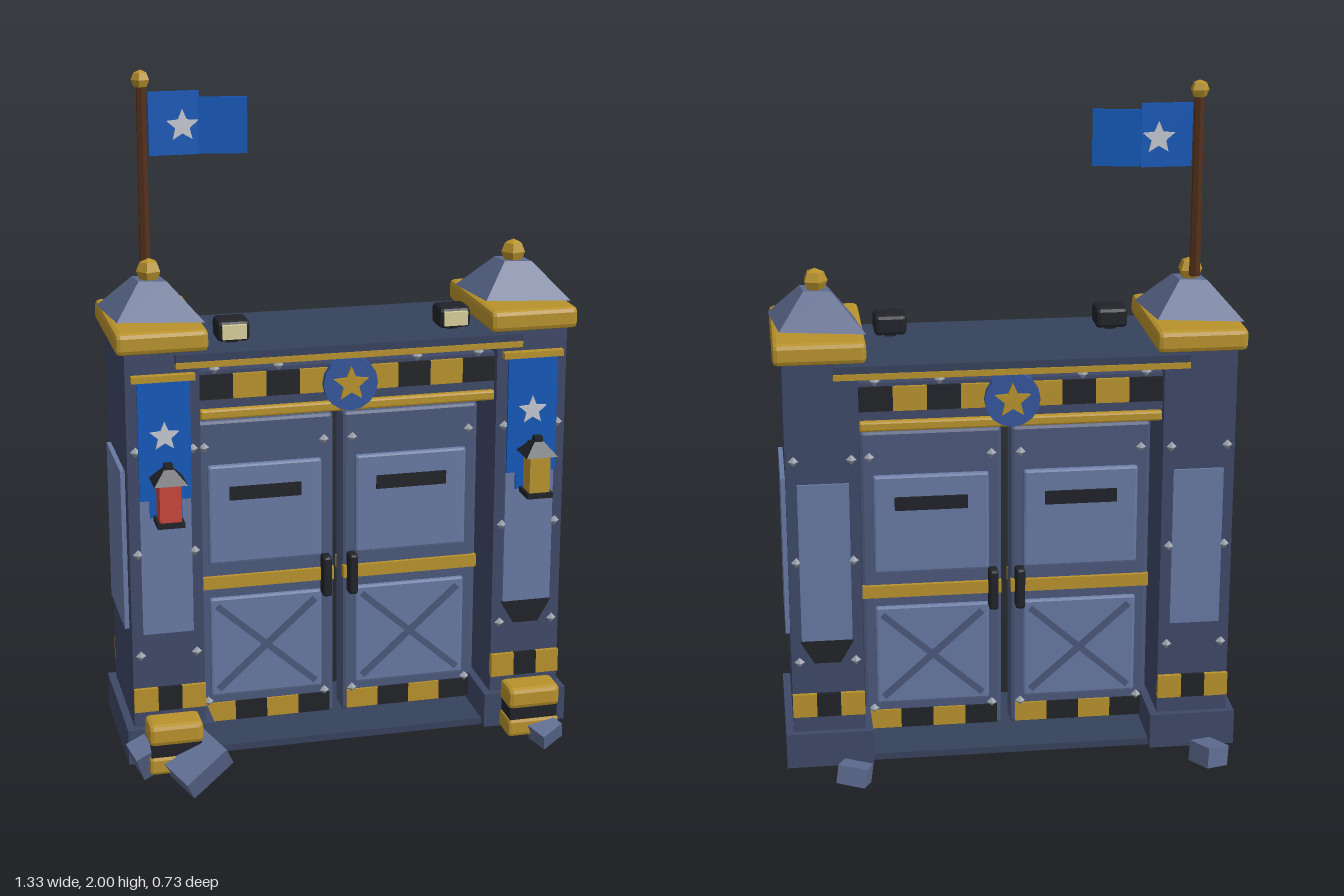
import * as THREE from 'three';
import { RoundedBoxGeometry } from 'three/addons/geometries/RoundedBoxGeometry.js';

const mat = (color) => new THREE.MeshStandardMaterial({ color, flatShading: true });
const M = {
  navy: mat(0x3e4967), slab: mat(0x36415c), door: mat(0x4b587a), panel: mat(0x6779a3),
  gold: mat(0xb8922c), black: mat(0x202228), blue: mat(0x1158b8), badge: mat(0x34569c),
  star: mat(0xc4c8d0), bolt: mat(0xa0a6b0), wood: mat(0x55301c), cream: mat(0xd8cf9c),
  red: mat(0xc9443c), rock: mat(0x5d6b90),
};

function add(parent, name, geo, material, x = 0, y = 0, z = 0) {
  const m = new THREE.Mesh(geo, material);
  m.name = name;
  m.position.set(x, y, z);
  parent.add(m);
  return m;
}
function group(parent, name, x = 0, y = 0, z = 0) {
  const g = new THREE.Group();
  g.name = name;
  g.position.set(x, y, z);
  parent.add(g);
  return g;
}
// Box given by its limits on each axis; r rounds the edges
function box(parent, name, material, x0, x1, y0, y1, z0, z1, r = 0) {
  const s = [x1 - x0, y1 - y0, z1 - z0];
  const geo = r ? new RoundedBoxGeometry(...s, 1, r) : new THREE.BoxGeometry(...s);
  return add(parent, name, geo, material, (x0 + x1) / 2, (y0 + y1) / 2, (z0 + z1) / 2);
}
function starGeo(r, depth) {
  const pts = [];
  for (let i = 0; i < 10; i++) {
    const a = Math.PI / 2 + i * Math.PI / 5, q = i % 2 ? r * 0.45 : r;
    pts.push(new THREE.Vector2(q * Math.cos(a), q * Math.sin(a)));
  }
  return new THREE.ExtrudeGeometry(new THREE.Shape(pts), { depth, bevelEnabled: false });
}
// Row of alternating gold and black blocks
function hazard(parent, x0, x1, y0, y1, z0, z1, n, first = 0) {
  const g = group(parent, 'hazardStripes'), w = (x1 - x0) / n;
  for (let i = 0; i < n; i++) {
    box(g, 'stripe', (i + first) % 2 ? M.black : M.gold, x0 + i * w, x0 + (i + 1) * w, y0, y1, z0, z1);
  }
}
const bolt = (parent, x, y, z) =>
  add(parent, 'bolt', new THREE.OctahedronGeometry(0.015), M.bolt, x, y, z);

// Everything on one face of a door leaf
function doorFace(face, s) {
  const g = group(face, 'doorFace', s * 0.217, 0, 0);
  box(g, 'upperPanel', M.panel, -0.167, 0.167, 0.585, 0.885, 0.03, 0.052, 0.008);
  box(g, 'viewSlot', M.black, -0.105, 0.105, 0.78, 0.82, 0.04, 0.058);
  box(g, 'lowerPanel', M.panel, -0.167, 0.167, 0.17, 0.48, 0.03, 0.048, 0.008);
  for (const d of [-1, 1]) {
    const bar = add(g, 'crossBrace', new THREE.BoxGeometry(0.39, 0.018, 0.012), M.door, 0, 0.325, 0.05);
    bar.rotation.z = d * 0.73;
  }
  box(g, 'goldBand', M.gold, -0.203, 0.203, 0.51, 0.547, 0.03, 0.052);
  hazard(g, -0.19, 0.19, 0.09, 0.148, 0.03, 0.046, 4);
  box(g, 'handle', M.black, -s * 0.178 - 0.014, -s * 0.178 + 0.014, 0.465, 0.59, 0.035, 0.08, 0.008);
  for (const x of [-0.175, 0.175]) for (const y of [0.155, 0.94]) bolt(g, x, y, 0.043);
}

// One broad side of the gate, shared by front and back
function gateFace(core, turn) {
  const f = group(core, turn ? 'backFace' : 'frontFace');
  f.rotation.y = turn;
  for (const s of [-1, 1]) {
    doorFace(f, s);
    box(f, 'pillarPanel', M.panel, s * 0.53 - 0.072, s * 0.53 + 0.072, 0.45, 0.92, 0.18, 0.198);
    hazard(f, s * 0.53 - 0.103, s * 0.53 + 0.103, 0.215, 0.285, 0.18, 0.202, 3);
    for (const x of [-0.08, 0.08]) for (const y of [0.385, 0.69, 0.99]) bolt(f, s * 0.53 + x, y, 0.195);
    for (const x of [0.2, 0.38]) bolt(f, s * x, 1.205, 0.165);
  }
  hazard(f, -0.425, 0.425, 1.12, 1.19, 0.15, 0.175, 9, 1);
  box(f, 'beamTrim', M.gold, -0.425, 0.425, 1.063, 1.092, 0.15, 0.182, 0.006);
  box(f, 'slabTrim', M.gold, -0.495, 0.495, 1.224, 1.241, 0.18, 0.214);
  const disc = add(f, 'badge', new THREE.CylinderGeometry(0.078, 0.078, 0.03, 16), M.badge, 0, 1.145, 0.178);
  disc.rotation.x = Math.PI / 2;
  add(f, 'badgeStar', starGeo(0.052, 0.012), M.gold, 0, 1.145, 0.19);
}

function pillar(core, s) {
  const g = group(core, s < 0 ? 'rightPillar' : 'leftPillar', s * 0.53);
  box(g, 'shaft', M.navy, -0.103, 0.103, 0.16, 1.28, -0.19, 0.19);
  box(g, 'plinth', M.navy, -0.125, 0.125, 0.06, 0.165, -0.21, 0.21);
  box(g, 'cap', M.gold, -0.128, 0.128, 1.268, 1.33, -0.213, 0.213, 0.014);
  box(g, 'outerPanel', M.panel, s * 0.106 - 0.01, s * 0.106 + 0.01, 0.45, 0.92, -0.135, 0.14);
  // Skewed four-sided roof
  const roof = new THREE.CylinderGeometry(0.32, 1, 0.1, 4);
  roof.applyMatrix4(new THREE.Matrix4().set(
    0.105, 0, 0.132, 0, 0, 1, 0, 0, -0.085, 0, 0.132, 0, 0, 0, 0, 1));
  add(g, 'roof', roof, M.rock, 0, 1.38, 0);
  add(g, 'finial', new THREE.SphereGeometry(0.036, 5, 4), M.gold, 0, 1.453, 0);
}

// Banner, lantern and bollard on the front of each pillar
function pillarFront(root, s) {
  const g = group(root, s < 0 ? 'rightFittings' : 'leftFittings', s * 0.53);
  box(g, 'bannerRod', M.gold, -0.088, 0.088, 1.19, 1.208, 0.165, 0.188);
  const cloth = new THREE.Shape([[-0.073, 1.195], [-0.073, 0.85], [-0.045, 0.85], [-0.045, 0.8],
    [0.045, 0.8], [0.045, 0.85], [0.073, 0.85], [0.073, 1.195]].reverse().map(p => new THREE.Vector2(...p)));
  add(g, 'banner', new THREE.ExtrudeGeometry(cloth, { depth: 0.008, bevelEnabled: false }), M.blue, 0, 0, 0.174);
  add(g, 'bannerStar', starGeo(0.043, 0.006), M.star, 0, 1.035, 0.181);

  const l = group(g, 'lantern', 0, 0, 0.234);
  box(l, 'bracket', M.black, -0.012, 0.012, 0.925, 0.945, -0.065, 0);
  box(l, 'glass', s < 0 ? M.red : M.gold, -0.03, 0.03, 0.81, 0.925, -0.03, 0.03);
  box(l, 'lanternBase', M.black, -0.038, 0.038, 0.797, 0.812, -0.038, 0.038);
  const hood = add(l, 'hood', new THREE.CylinderGeometry(0.02, 0.066, 0.038, 4), M.black, 0, 0.94, 0);
  hood.rotation.y = Math.PI / 4;
  box(l, 'hoodKnob', M.black, -0.012, 0.012, 0.955, 0.973, -0.012, 0.012);

  box(g, 'bollardFoot', M.gold, -0.078, 0.078, 0.06, 0.115, 0.18, 0.272, 0.01);
  box(g, 'bollardBand', M.black, -0.072, 0.072, 0.105, 0.155, 0.18, 0.267);
  box(g, 'bollardTop', M.gold, -0.078, 0.078, 0.148, 0.212, 0.18, 0.275, 0.014);
}

export function createModel() {
  const root = new THREE.Group();
  root.name = 'fortifiedGate';
  const core = group(root, 'gate', 0, 0, -0.025);

  // Roof slab, beam, threshold and door leaves
  box(core, 'roofSlab', M.slab, -0.495, 0.495, 1.235, 1.262, -0.21, 0.21);
  box(core, 'beam', M.navy, -0.43, 0.43, 1.063, 1.2, -0.165, 0.165);
  box(core, 'threshold', M.slab, -0.42, 0.42, 0.056, 0.076, -0.18, 0.18);
  for (const s of [-1, 1]) {
    box(core, 'doorLeaf', M.door, s * 0.217 - 0.204, s * 0.217 + 0.204, 0.08, 1.018, -0.04, 0.04, 0.012);
    pillar(core, s);
    pillarFront(root, s);
    // Floodlight on the slab
    const x = s * 0.318;
    box(root, 'floodlight', M.black, x - 0.046, x + 0.046, 1.27, 1.33, 0.025, 0.112, 0.012);
    box(root, 'floodlightLens', M.cream, x - 0.034, x + 0.034, 1.28, 1.32, 0.1, 0.123);
    box(root, 'floodlightFoot', M.black, x - 0.015, x + 0.015, 1.255, 1.275, 0.05, 0.085);
    // Scorch mark under the panel of the left pillar
    const scorch = add(core, 'scorch', new THREE.CylinderGeometry(0.075, 0.075, 0.012, 6), M.black, 0.53, 0.445, s * 0.19);
    scorch.rotation.set(Math.PI / 2, Math.PI / 6, 0);
  }
  gateFace(core, 0);
  gateFace(core, Math.PI);

  // Flagpole with a flag in two bent segments
  const pole = group(root, 'flagpole', -0.53, 0, -0.088);
  add(pole, 'pole', new THREE.CylinderGeometry(0.014, 0.016, 0.52, 6), M.wood, 0, 1.71, 0);
  add(pole, 'poleFinial', new THREE.SphereGeometry(0.027, 5, 4), M.gold, 0, 1.973, 0);
  box(pole, 'flagInner', M.blue, 0.018, 0.16, 1.762, 1.938, -0.005, 0.005);
  const tail = add(pole, 'flagOuter', new THREE.BoxGeometry(0.14, 0.157, 0.009), M.blue, 0.222, 1.842, 0.014);
  tail.rotation.y = -0.2;
  add(pole, 'flagStar', starGeo(0.047, 0.02), M.star, 0.112, 1.843, -0.01);

  // Loose rubble: position, size, rotation
  const rubble = [
    [[-0.47, 0.088, 0.275], [0.15, 0.075, 0.11], [0.35, 0.5, 0.4]],
    [[-0.615, 0.095, 0.215], [0.06, 0.1, 0.07], [0.4, 0.3, 0.3]],
    [[0.565, 0.072, 0.275], [0.075, 0.055, 0.065], [0.3, 0.5, 0.2]],
    [[-0.565, 0.072, -0.31], [0.075, 0.06, 0.085], [0.1, 0.5, 0.1]],
    [[0.465, 0.072, -0.312], [0.085, 0.055, 0.065], [0.2, -0.35, 0.15]],
  ];
  for (const [p, size, r] of rubble) {
    add(root, 'rubble', new THREE.BoxGeometry(...size), M.rock, ...p).rotation.set(...r);
  }
  return root;
}
